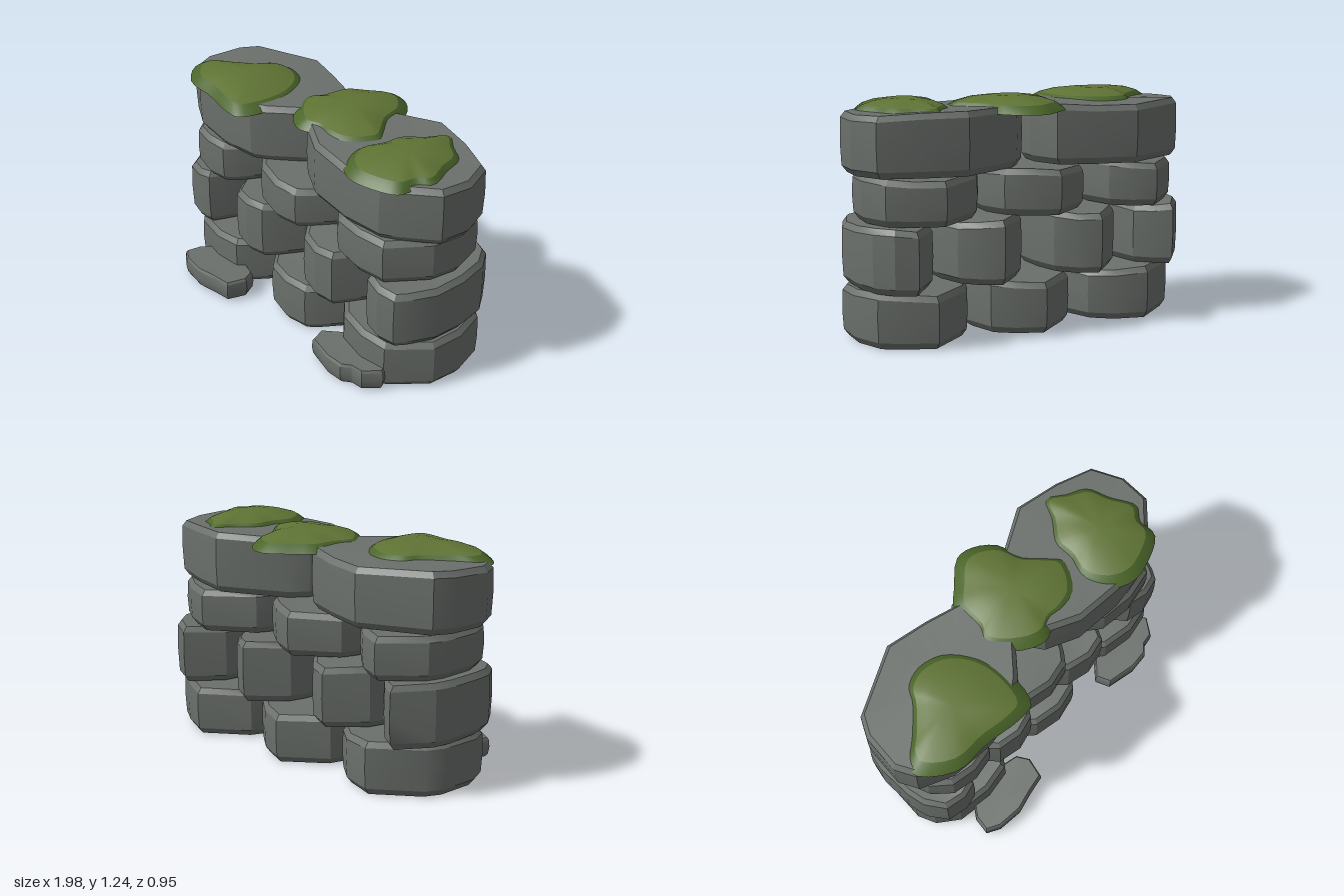
import * as THREE from 'three';
import { mergeVertices, toCreasedNormals } from 'three/addons/utils/BufferGeometryUtils.js';

const stoneMat = new THREE.MeshStandardMaterial({ color: 0x6b706c });
const mossMat = new THREE.MeshStandardMaterial({ color: 0x5f7334, side: THREE.DoubleSide });
const mossRimMat = new THREE.MeshStandardMaterial({ color: 0x4a6529, side: THREE.DoubleSide });

// Small seeded generator, -1..1
let seed = 7;
const rnd = () => {
  seed = (seed * 16807) % 2147483647;
  return (seed / 2147483647) * 2 - 1;
};

// Skin a stack of rings (arrays of Vector3, clockwise from above), with optional end caps
function loft(rings, bottom, top, crease) {
  const n = rings[0].length, pos = [], idx = [];
  rings.flat().forEach((p) => pos.push(p.x, p.y, p.z));
  for (let r = 0; r < rings.length - 1; r++) {
    for (let i = 0; i < n; i++) {
      const a = r * n + i, b = r * n + ((i + 1) % n);
      idx.push(a, a + n, b + n, a, b + n, b);
    }
  }
  const cap = (r, up) => {
    const c = new THREE.Vector3();
    rings[r].forEach((p) => c.addScaledVector(p, 1 / n));
    const k = pos.length / 3;
    pos.push(c.x, c.y, c.z);
    for (let i = 0; i < n; i++) {
      const a = r * n + i, b = r * n + ((i + 1) % n);
      idx.push(k, up ? b : a, up ? a : b);
    }
  };
  if (bottom) cap(0, false);
  if (top) cap(rings.length - 1, true);
  const g = new THREE.BufferGeometry();
  g.setAttribute('position', new THREE.Float32BufferAttribute(pos, 3));
  g.setIndex(idx);
  return toCreasedNormals(mergeVertices(g), crease);
}

// Chamfered block on a polygon footprint given in -1..1
function block(name, outline, [x0, x1], [z0, z1], [y0, y1], bevel, wave) {
  const cx = (x0 + x1) / 2, hx = (x1 - x0) / 2, cz = (z0 + z1) / 2, hz = (z1 - z0) / 2;
  const phase = rnd() * 3;
  // height, inset, share of the top unevenness
  const levels = [
    [y0, bevel * 1.1, 0], [y0 + bevel * 1.2, 0.006, 0.1],
    [(y0 + y1) / 2, 0, 0.4], [y1 - bevel, 0.004, 1], [y1, bevel * 0.9, 1],
  ];
  const rings = levels.map(([y, inset, w]) => outline.map(([u, v]) => new THREE.Vector3(
    cx + u * (hx - inset),
    y + w * wave * Math.sin(u * 2.2 + v * 1.7 + phase),
    cz + v * (hz - inset))));
  const mesh = new THREE.Mesh(loft(rings, true, true, 0.42), stoneMat);
  mesh.name = name;
  return mesh;
}

// Stone footprint: pointed back, broad front, cut front-left corner
const footprint = [[0, -1], [0.48, -0.84], [0.85, -0.6], [1, -0.1], [0.95, 0.36], [0.63, 0.78],
  [0.47, 0.95], [0, 1], [-0.55, 0.9], [-0.9, 0.62], [-1, 0.36], [-0.93, -0.25], [-0.78, -0.52]];

const courses = [
  { y: [0, 0.28], z: [-0.435, 0.29], spans: [[-0.95, -0.27], [-0.28, 0.32], [0.32, 0.98]] },
  { y: [0.285, 0.615], z: [-0.435, 0.285], spans: [[-0.97, -0.59], [-0.56, -0.08], [0.02, 0.51], [0.55, 0.97]] },
  { y: [0.62, 0.86], z: [-0.43, 0.28], spans: [[-0.93, -0.41], [-0.38, 0.24], [0.26, 0.93]] },
  { y: [0.865, 1.185], z: [-0.43, 0.27], spans: [[-1, -0.06], [-0.02, 0.98]] },
];

// Loose slabs at the foot of the wall
const slabs = [
  { x: [-0.77, -0.29], z: [0.21, 0.475], outline: [[-0.6, -0.9], [0.3, -1], [0.85, -0.7], [1, -0.15],
    [0.86, 0.7], [0.4, 0.82], [-0.1, 1], [-0.7, 0.84], [-1, 0.5], [-0.92, -0.2]] },
  { x: [0.33, 0.82], z: [0.19, 0.425], outline: [[-0.6, -0.9], [0.3, -1], [0.9, -0.6], [1, -0.2],
    [0.72, 0.55], [0.44, 0.62], [0.25, 0.96], [-0.2, 1], [-0.88, 0.62], [-1, -0.1]] },
];

// Moss outlines on the top course (x, z)
const mosses = [
  [[-0.84, 0], [-0.7, -0.13], [-0.64, -0.21], [-0.52, -0.24], [-0.37, -0.18], [-0.27, -0.03],
    [-0.25, 0.15], [-0.3, 0.33], [-0.4, 0.34], [-0.6, 0.3], [-0.8, 0.28], [-0.95, 0.14], [-0.93, 0.07]],
  [[0.05, -0.475], [0.14, -0.46], [0.24, -0.37], [0.28, -0.23], [0.38, -0.1], [0.42, -0.03], [0.32, 0.12],
    [0.2, 0.15], [0.1, 0.14], [0, 0.17], [-0.13, 0.1], [-0.24, -0.05], [-0.2, -0.13], [-0.17, -0.3], [-0.08, -0.38]],
  [[0.59, -0.38], [0.7, -0.3], [0.8, -0.23], [0.84, -0.1], [0.9, 0.05], [0.84, 0.12], [0.82, 0.22],
    [0.7, 0.28], [0.55, 0.3], [0.43, 0.23], [0.37, 0.1], [0.41, -0.03], [0.42, -0.15], [0.52, -0.27]],
];

// Thin domed moss patch with a darker drooping rim
function mossPatch(points) {
  const curve = new THREE.CatmullRomCurve3(points.map(([x, z]) => new THREE.Vector3(x, 0, z)), true);
  const edge = curve.getPoints(44).slice(0, -1);
  const c = new THREE.Vector3();
  edge.forEach((p) => c.addScaledVector(p, 1 / edge.length));
  const ring = (s, y) => edge.map((p) => {
    const q = p.clone().sub(c).multiplyScalar(s).add(c);
    return q.setY(y);
  });
  const group = new THREE.Group();
  group.name = 'mossPatch';
  const rim = new THREE.Mesh(
    loft([ring(1, 1.16), ring(0.92, 1.183), ring(0.82, 1.203)], false, false, 1), mossRimMat);
  rim.name = 'mossRim';
  const dome = new THREE.Mesh(
    loft([ring(0.82, 1.203), ring(0.6, 1.225), ring(0.3, 1.238)], false, true, 1), mossMat);
  dome.name = 'mossDome';
  group.add(rim, dome);
  return group;
}

export function createModel() {
  const model = new THREE.Group();
  model.name = 'mossyStoneWall';

  // Courses of stacked stones
  courses.forEach(({ y, z, spans }, i) => {
    const course = new THREE.Group();
    course.name = `stoneCourse${i + 1}`;
    spans.forEach((x) => {
      const outline = footprint.map(([u, v]) => [
        Math.abs(u) > 0.97 ? u : u + rnd() * 0.025, Math.abs(v) > 0.97 ? v : v + rnd() * 0.025]);
      course.add(block('stone', outline, x, z, y, 0.03, 0.01));
    });
    model.add(course);
  });

  slabs.forEach(({ x, z, outline }) => model.add(block('footSlab', outline, x, z, [0.01, 0.122], 0.014, 0.004)));
  mosses.forEach((points) => model.add(mossPatch(points)));
  return model;
}
